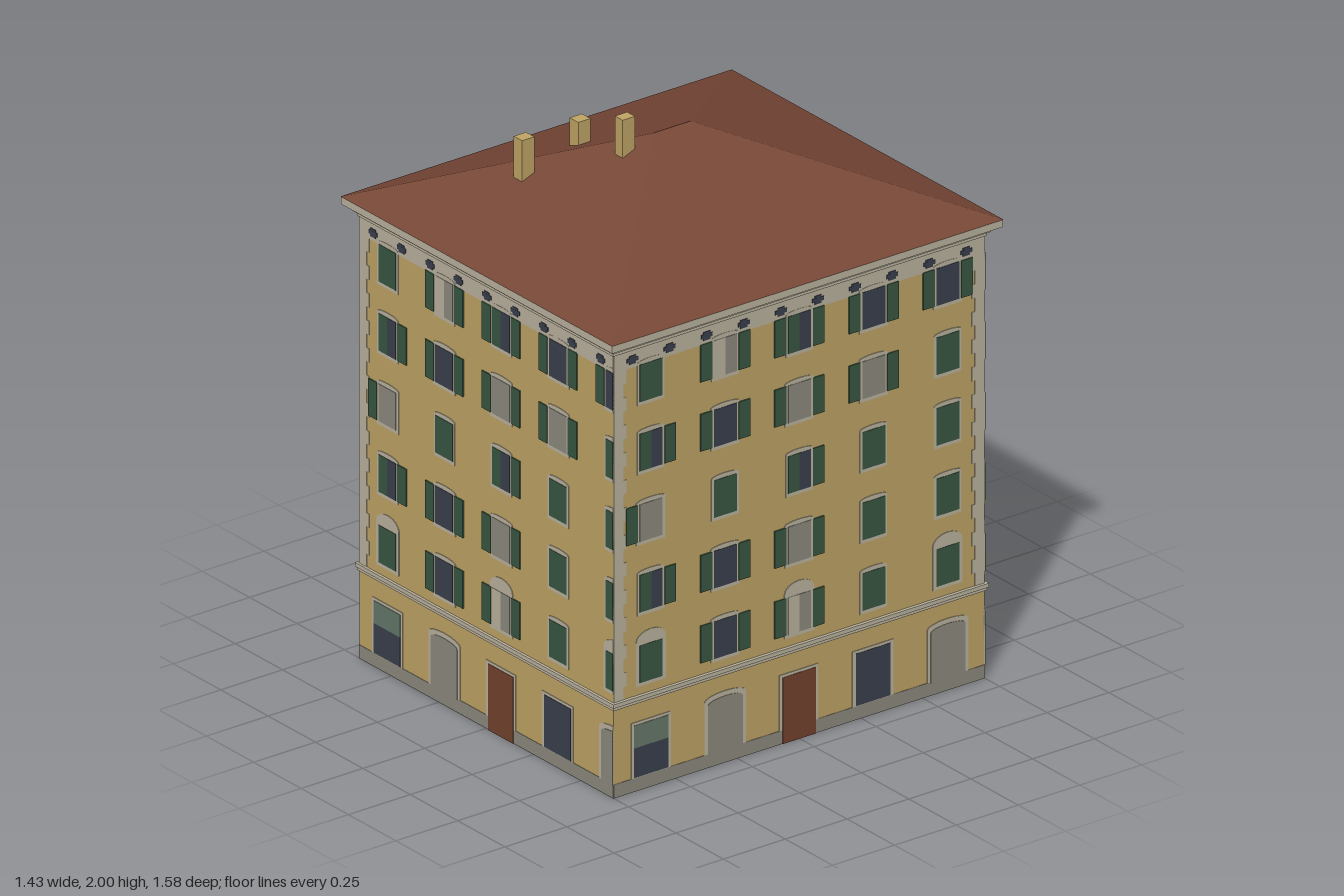
import * as THREE from 'three';
import { mergeGeometries } from 'three/addons/utils/BufferGeometryUtils.js';

const mat = (name, color, side = THREE.FrontSide) => {
  const m = new THREE.MeshStandardMaterial({ color, side });
  m.name = name;
  return m;
};

export function createModel() {
  const M = {
    ochre: mat('ochre plaster', 0xc0a566, THREE.DoubleSide),
    trim: mat('pale stone', 0xbdb5a0),
    grey: mat('grey stone', 0x8e8b80),
    dark: mat('dark glass', 0x3b404e),
    green: mat('green shutter', 0x395741),
    red: mat('door red', 0x74432f),
    roof: mat('roof tile', 0x784837, THREE.DoubleSide),
    transom: mat('transom glass', 0x66796a),
  };
  const W = 1.34, D = 1.5, WALL_TOP = 1.6;
  const model = new THREE.Group();
  model.name = 'apartmentBuilding';

  const add = (parent, name, geometry, material) => {
    const mesh = new THREE.Mesh(geometry, material);
    mesh.name = name;
    parent.add(mesh);
    return mesh;
  };

  // Each cell: pane type (G closed, D dark, Y grey, H half open, L half grey), then open shutters
  const floors = [
    { y: 0.38, cells: ['G', 'Dlr', 'Llr', 'G', 'G'], arches: true },
    { y: 0.63, cells: ['Hr', 'Dlr', 'Ylr', 'G', 'G'] },
    { y: 0.88, cells: ['Yl', 'G', 'Hr', 'G', 'G'] },
    { y: 1.13, cells: ['Hr', 'Dlr', 'Ylr', 'Ylr', 'G'] },
    { y: 1.375, cells: ['G', 'Llr', 'Hlr', 'Dlr', 'Dlr'] },
  ];
  const panes = { G: ['green', 'green'], D: ['dark', 'dark'], Y: ['grey', 'grey'], H: ['green', 'dark'], L: ['trim', 'grey'] };

  // One facade, laid out from its u = 0 edge and cut off at its width
  function facade(width) {
    const group = new THREE.Group();
    const parts = {};
    const plate = (part, colour, points, depth) => {
      const pts = [];
      for (const [u, y] of points) {
        const p = new THREE.Vector2(Math.min(Math.max(u, 0), width) - width / 2, y);
        if (!pts.length || p.distanceTo(pts[pts.length - 1]) > 1e-5) pts.push(p);
      }
      const xs = pts.map((p) => p.x);
      if (Math.max(...xs) - Math.min(...xs) < 0.002) return;
      const g = new THREE.ExtrudeGeometry(new THREE.Shape(pts), { depth, bevelEnabled: false });
      g.translate(0, 0, -depth / 2);
      const key = part + '|' + colour;
      (parts[key] ??= []).push(g);
    };
    const rect = (part, colour, u0, u1, y0, y1, depth) =>
      plate(part, colour, [[u0, y0], [u1, y0], [u1, y1], [u0, y1]], depth);
    // Rectangle with a segmental arch on top
    const arched = (part, colour, u, half, y0, y1, rise, depth) => {
      const pts = [[u - half, y0], [u + half, y0]];
      for (let i = 0; i <= 8; i++) {
        const a = (Math.PI * i) / 8;
        pts.push([u + half * Math.cos(a), y1 + rise * Math.sin(a)]);
      }
      plate(part, colour, pts, depth);
    };

    // Wall, open towards the inside
    const wall = new THREE.PlaneGeometry(width, WALL_TOP);
    wall.translate(0, WALL_TOP / 2, 0);
    add(group, 'wall', wall, M.ochre);

    // Plinth, frieze with vents
    rect('plinth', 'grey', 0, width, 0, 0.048, 0.003);
    rect('frieze', 'trim', 0, width, 1.505, 1.59, 0.003);
    for (let u = 0.075; u < width; u += 0.15) {
      rect('vent', 'dark', u - 0.023, u + 0.023, 1.527, 1.541, 0.008);
      rect('ventCap', 'dark', u - 0.014, u + 0.014, 1.519, 1.549, 0.0075);
    }
    // Toothed corner stones
    for (let i = 0; i < 24; i++) {
      const y = 0.335 + i * 0.04875, w = i % 2 ? 0.052 : 0.04;
      rect('quoin', 'trim', 0, w, y, y + 0.04875, 0.003);
      rect('quoin', 'trim', D - w, D, y, y + 0.04875, 0.003);
    }
    // Upper floors
    for (const { y, cells, arches } of floors) {
      cells.forEach((cell, i) => {
        const u = 0.15 + 0.3 * i, top = y + 0.132;
        const [a, b] = panes[cell[0]];
        const wide = cell[0] === 'Y' || cell[0] === 'D' ? 0.058 : 0.055;
        if (arches && i % 2 === 0) arched('windowSurround', 'trim', u, 0.06, y - 0.012, top + 0.012, 0.037, 0.005);
        else arched('windowSurround', 'trim', u, wide, y - 0.012, top + 0.006, 0.01, 0.005);
        if (a === b) rect('windowPane', a, u - 0.046, u + 0.046, y, top, 0.008);
        else {
          rect('windowPane', a, u - 0.046, u, y, top, 0.008);
          rect('windowPane', b, u, u + 0.046, y, top, 0.008);
        }
        if (cell.includes('l')) rect('shutter', 'green', u - 0.1, u - 0.054, y, top, 0.009);
        if (cell.includes('r')) rect('shutter', 'green', u + 0.054, u + 0.1, y, top, 0.009);
      });
    }
    // Ground floor: shop window, grey bay, door, dark window, grey bay
    rect('shopFrame', 'trim', 0.07, 0.23, 0.048, 0.245, 0.005);
    rect('shopGlass', 'dark', 0.08, 0.22, 0.05, 0.155, 0.008);
    rect('shopTransom', 'transom', 0.08, 0.22, 0.155, 0.235, 0.008);
    for (const u of [0.45, 1.35]) {
      arched('baySurround', 'trim', u, 0.083, 0.048, 0.235, 0.02, 0.005);
      arched('bay', 'grey', u, 0.07, 0.045, 0.222, 0.016, 0.008);
    }
    rect('doorFrame', 'trim', 0.67, 0.825, 0.048, 0.245, 0.005);
    rect('door', 'red', 0.682, 0.815, 0, 0.235, 0.008);
    rect('groundFrame', 'trim', 0.965, 1.13, 0.048, 0.245, 0.005);
    rect('groundWindow', 'dark', 0.978, 1.118, 0.05, 0.235, 0.008);

    for (const key in parts) {
      const [part, colour] = key.split('|');
      add(group, part, mergeGeometries(parts[key]), M[colour]);
    }
    return group;
  }

  const front = facade(W), side = facade(D);
  const place = (g, name, x, z, turn) => {
    g.name = name;
    g.position.set(x, 0, z);
    g.rotation.y = turn;
    model.add(g);
  };
  place(front, 'frontFacade', 0, D / 2, 0);
  place(front.clone(), 'backFacade', 0, -D / 2, 0);
  place(side, 'leftFacade', W / 2, 0, Math.PI / 2);
  place(side.clone(), 'rightFacade', -W / 2, 0, Math.PI / 2);

  // Mouldings running round the building
  const ring = (name, hx, hz, y0, y1) => {
    const box = (S, x, z) => new S([[-x, -z], [x, -z], [x, z], [-x, z]].map((p) => new THREE.Vector2(...p)));
    const shape = box(THREE.Shape, hx, hz);
    shape.holes.push(box(THREE.Path, W / 2 - 0.003, D / 2 - 0.003));
    const g = new THREE.ExtrudeGeometry(shape, { depth: y1 - y0, bevelEnabled: false });
    g.rotateX(-Math.PI / 2);
    g.translate(0, y0, 0);
    add(model, name, g, M.trim);
  };
  ring('beltCourseLower', 0.676, 0.755, 0.312, 0.324);
  ring('beltCourseUpper', 0.682, 0.76, 0.324, 0.338);
  ring('corniceLower', 0.676, 0.756, 1.568, 1.582);
  ring('corniceUpper', 0.685, 0.764, 1.582, 1.603);
  ring('eaves', 0.715, 0.79, 1.603, 1.63);

  // Hipped roof with a short ridge
  const ex = 0.717, ez = 0.791, ey = 1.63, ry = 1.917, rz = 0.075;
  const [A, B, C, E] = [[-ex, ey, ez], [ex, ey, ez], [ex, ey, -ez], [-ex, ey, -ez]];
  const F = [0, ry, rz], K = [0, ry, -rz];
  const tris = [A, B, F, C, E, K, B, C, K, B, K, F, E, A, F, E, F, K];
  const roof = new THREE.BufferGeometry();
  roof.setAttribute('position', new THREE.Float32BufferAttribute(tris.flat(), 3));
  roof.computeVertexNormals();
  add(model, 'roof', roof, M.roof);

  // Chimneys: x, z, width, bottom, top
  for (const [x, z, w, y0, y1] of [
    [-0.25, 0.18, 0.046, 1.77, 1.907],
    [-0.016, 0.178, 0.042, 1.862, 2.0],
    [-0.235, 0.418, 0.044, 1.768, 1.915],
  ]) {
    add(model, 'chimney', new THREE.BoxGeometry(w, y1 - y0, 0.05), M.ochre).position.set(x, (y0 + y1) / 2, z);
  }
  return model;
}
